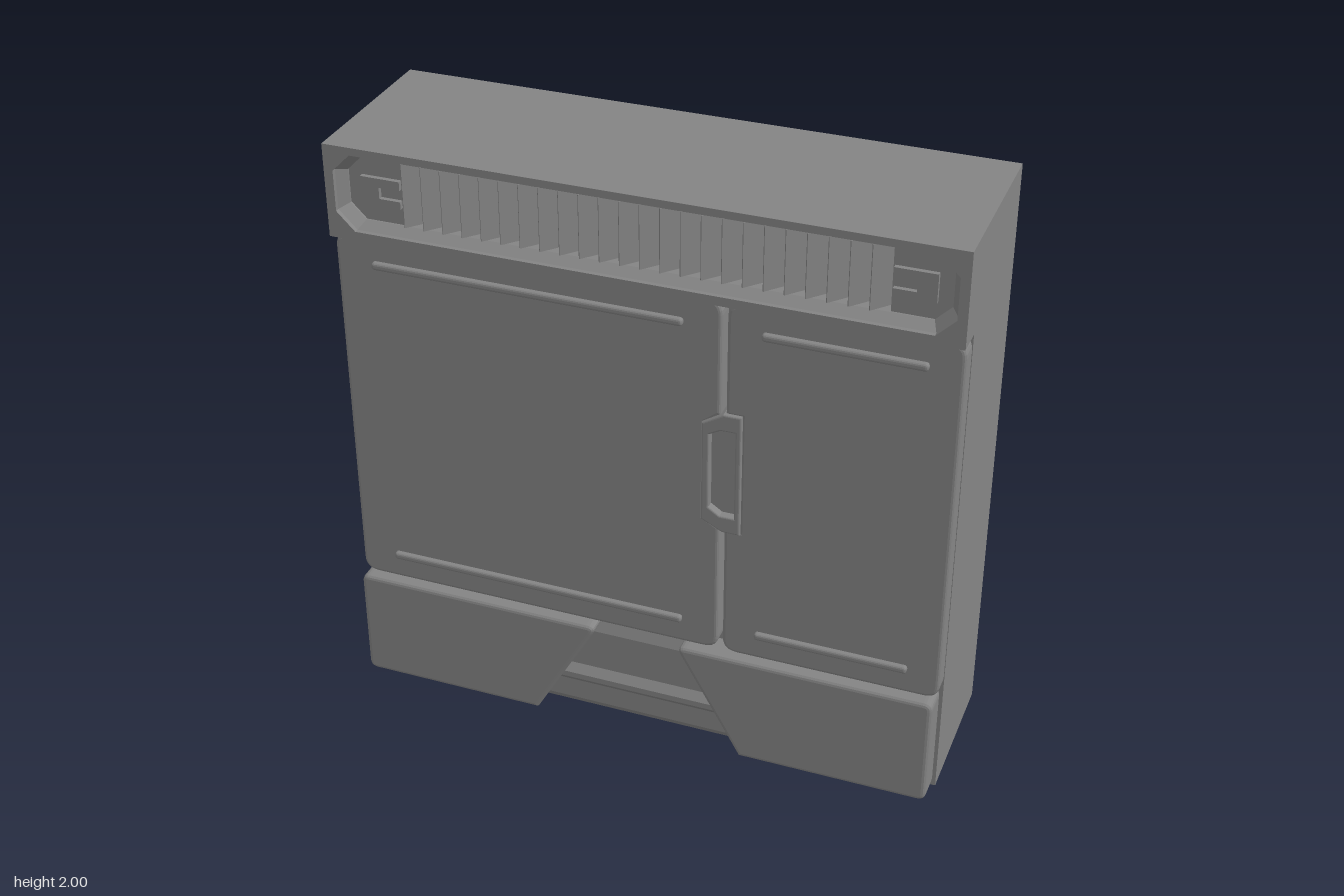
import * as THREE from 'three';

const material = new THREE.MeshStandardMaterial({ color: 0x848484, flatShading: true });

// Closed outline through [x, y, cornerRadius] points
function outline(points, Type = THREE.Shape) {
  const path = new Type();
  const n = points.length;
  points.forEach(([x, y, r = 0], i) => {
    const p = new THREE.Vector2(x, y);
    const toward = (q) => new THREE.Vector2(q[0], q[1]).sub(p).setLength(r).add(p);
    const a = toward(points[(i + n - 1) % n]);
    const b = toward(points[(i + 1) % n]);
    if (i === 0) path.moveTo(a.x, a.y);
    else path.lineTo(a.x, a.y);
    if (r > 0) path.quadraticCurveTo(x, y, b.x, b.y);
  });
  path.closePath();
  return path;
}

const rect = (x0, y0, x1, y1, r = 0) => [[x0, y0, r], [x1, y0, r], [x1, y1, r], [x0, y1, r]];

// Rectangle with chamfered corners
const octagon = (x, y0, y1, c) => [
  [-x + c, y0], [x - c, y0], [x, y0 + c], [x, y1 - c],
  [x - c, y1], [-x + c, y1], [-x, y1 - c], [-x, y0 + c],
];

// Sloped band between an outer ring at depth z0 and an inner ring at depth z1
function slopedRing(outer, inner, z0, z1) {
  const positions = [];
  outer.forEach(([x, y], i) => {
    const j = (i + 1) % outer.length;
    const a = [x, y, z0], b = [...outer[j], z0];
    const c = [...inner[j], z1], d = [...inner[i], z1];
    positions.push(...a, ...b, ...c, ...a, ...c, ...d);
  });
  const geometry = new THREE.BufferGeometry();
  geometry.setAttribute('position', new THREE.Float32BufferAttribute(positions, 3));
  geometry.computeVertexNormals();
  return geometry;
}

export function createModel() {
  const model = new THREE.Group();

  const add = (name, geometry, parent = model) => {
    const mesh = new THREE.Mesh(geometry, material);
    mesh.name = name;
    parent.add(mesh);
    return mesh;
  };

  // Plate between two depths, with optional bevelled edges
  const plate = (name, points, z0, z1, bevel = 0, hole = null) => {
    const shape = outline(points);
    if (hole) shape.holes.push(outline(hole, THREE.Path));
    const geometry = new THREE.ExtrudeGeometry(shape, {
      depth: z1 - z0 - bevel, bevelEnabled: bevel > 0, bevelThickness: bevel,
      bevelSize: bevel, bevelOffset: -bevel, bevelSegments: 3, curveSegments: 6,
    });
    geometry.translate(0, 0, z0);
    return add(name, geometry);
  };

  // Main cabinet
  add('cabinet', new THREE.BoxGeometry(2, 2, 0.5).translate(0, 1, -0.05));

  // Header with a chamfered recess that slopes inward
  const rim = octagon(0.97, 1.72, 1.975, 0.06);
  const lip = octagon(0.945, 1.742, 1.953, 0.05);
  plate('header', rect(-1, 1.69, 1, 2), 0.2, 0.3, 0, rim);
  add('ventFrame', slopedRing(rim, lip, 0.285, 0.25));
  add('ventWall', slopedRing(lip, lip, 0.25, 0.2));

  // Slanted vent slats
  const vent = new THREE.Group();
  vent.name = 'ventSlats';
  model.add(vent);
  const count = 24;
  const pitch = 1.53 / count;
  for (let i = 0; i < count; i++) {
    const slat = add('slat', new THREE.BoxGeometry(0.08, 0.211, 0.004), vent);
    slat.position.set(-0.765 + (i + 0.5) * pitch, 1.8475, 0.232);
    slat.rotation.y = 0.85;
  }

  // Vent end plates with latch brackets
  for (const s of [-1, 1]) {
    const mirror = (points) => {
      const m = points.map(([x, y, r]) => [s * x, y, r]);
      return s < 0 ? m.reverse() : m;
    };
    plate('ventEnd', mirror([
      [0.765, 1.742], [0.895, 1.742], [0.945, 1.792], [0.945, 1.903], [0.895, 1.953], [0.765, 1.953],
    ]), 0.2, 0.245);
    plate('latchBracket', mirror([
      [0.77, 1.80], [0.90, 1.80], [0.90, 1.892], [0.77, 1.892],
      [0.77, 1.862], [0.84, 1.862], [0.84, 1.825], [0.77, 1.825],
    ]), 0.24, 0.26);
  }

  // Doors, notched around the handle
  plate('wideDoor', [
    [-1, 0.41, 0.05], [0.268, 0.41, 0.05], [0.268, 0.888], [0.218, 0.918],
    [0.218, 1.262], [0.268, 1.3], [0.268, 1.69, 0.05], [-1, 1.69, 0.05],
  ], 0.21, 0.27, 0.012);
  plate('narrowDoor', [
    [0.283, 0.41, 0.05], [1, 0.41, 0.05], [1, 1.69, 0.05], [0.283, 1.69, 0.05],
    [0.283, 1.302], [0.332, 1.302], [0.332, 0.888], [0.283, 0.888],
  ], 0.21, 0.27, 0.012);

  // Handle with a recessed grip
  const grip = [
    [0.318, 0.94], [0.318, 1.25], [0.272, 1.25], [0.235, 1.23], [0.235, 0.965], [0.272, 0.94],
  ];
  plate('handle', [
    [0.338, 0.88], [0.338, 1.31], [0.28, 1.31], [0.21, 1.268], [0.21, 0.915], [0.28, 0.88],
  ], 0.2, 0.282, 0.006, grip);
  plate('handleGrip', grip, 0.2, 0.255);

  // Raised trim bars near the top and bottom of each door
  for (const y of [0.505, 1.6]) {
    for (const [x0, x1] of [[-0.875, 0.147], [0.393, 0.895]]) {
      plate('trimBar', rect(x0, y - 0.013, x1, y + 0.013, 0.012), 0.265, 0.287, 0.009);
    }
  }

  // Bottom panels with slanted inner ends
  plate('bottomPanelRight', [
    [-1, 0.008, 0.03], [-0.365, 0.008], [-0.14, 0.405, 0.04], [-1, 0.405, 0.03],
  ], 0.21, 0.3, 0.015);
  plate('bottomPanelLeft', [
    [0.355, 0.008], [0.99, 0.008, 0.03], [0.99, 0.405, 0.03], [0.13, 0.405, 0.04],
  ], 0.21, 0.3, 0.015);

  // Stepped ledge between the bottom panels, as a [depth, height] profile
  const ledge = new THREE.ExtrudeGeometry(outline([
    [0.19, 0.01], [0.215, 0.01], [0.23, 0.035], [0.23, 0.11], [0.245, 0.13], [0.245, 0.15],
    [0.225, 0.18], [0.225, 0.33], [0.2, 0.395], [0.19, 0.395],
  ]), { depth: 0.8, bevelEnabled: false });
  add('ledge', ledge.rotateY(-Math.PI / 2).translate(0.4, 0, 0));

  return model;
}
